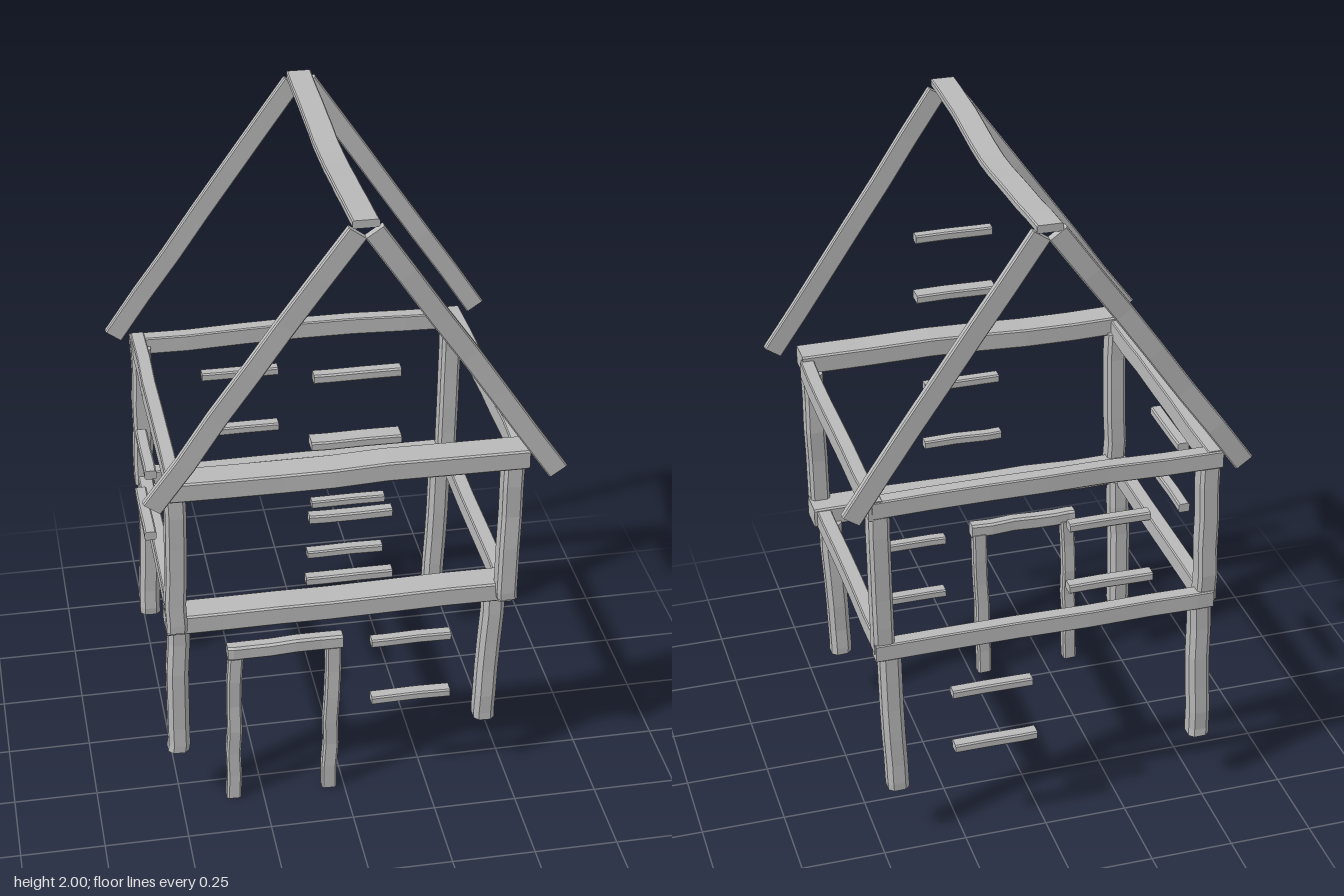
import * as THREE from 'three';

const V = (a) => new THREE.Vector3(...a);

export function createModel() {
  const model = new THREE.Group();
  model.name = 'timberHouseFrame';
  const timber = new THREE.MeshStandardMaterial({ color: 0xbababa, flatShading: true });
  timber.name = 'grey timber';

  // Seeded wobble for the hand-hewn look, from -1 to 1
  let seed = 7;
  const wobble = () => {
    seed = (seed * 16807) % 2147483647;
    return (seed / 2147483647) * 2 - 1;
  };

  // Chamfered timber swept along a path; w runs along the wide vector, h across it
  function beam(name, path, w, h, wide, { rough = 0.003, steps = 6, bevel = 0.16 } = {}) {
    const curve = new THREE.CatmullRomCurve3(path.map(V));
    const dir = V(path[path.length - 1]).sub(V(path[0])).normalize();
    const u = V(wide).addScaledVector(dir, -V(wide).dot(dir)).normalize();
    const v = new THREE.Vector3().crossVectors(dir, u);
    const a = w / 2, b = h / 2, c = Math.min(w, h) * bevel;
    const section = [[a, c - b], [a, b - c], [a - c, b], [c - a, b],
      [-a, b - c], [-a, c - b], [c - a, -b], [a - c, -b]];
    const n = section.length, pos = [], index = [];
    for (let i = 0; i <= steps; i++) {
      const inner = i > 0 && i < steps ? rough : 0;
      const p = curve.getPoint(i / steps)
        .addScaledVector(u, wobble() * inner).addScaledVector(v, wobble() * inner);
      for (const [x, y] of section) {
        const q = p.clone().addScaledVector(u, x).addScaledVector(v, y);
        pos.push(q.x, q.y, q.z);
      }
      for (let j = 0; i < steps && j < n; j++) {
        const k = i * n + j, l = i * n + ((j + 1) % n);
        index.push(k, l, l + n, k, l + n, k + n);
      }
    }
    const e = steps * n;
    for (let j = 1; j < n - 1; j++) index.push(0, j + 1, j, e, e + j, e + j + 1);
    const geo = new THREE.BufferGeometry();
    geo.setAttribute('position', new THREE.Float32BufferAttribute(pos, 3));
    geo.setIndex(index);
    geo.computeVertexNormals();
    const mesh = new THREE.Mesh(geo, timber);
    mesh.name = name;
    model.add(mesh);
  }

  const X = [1, 0, 0], Y = [0, 1, 0];

  // Sagging ridge beam
  beam('ridgeBeam', [[0.017, 1.988, 0.525], [0.015, 1.975, 0.3], [0.018, 1.947, 0],
    [0.018, 1.958, -0.25], [0.018, 1.974, -0.535]], 0.073, 0.023, X, { steps: 12, rough: 0.001 });

  // Gable rafters
  for (const s of [-1, 1]) {
    beam('frontRafter', [[0.57 * s, 1.178, 0.515], [0.3 * s + 0.01, 1.565, 0.508],
      [0.018 + 0.022 * s, 1.962, 0.514]], 0.024, 0.06, [0, 0, 1]);
    beam('backRafter', [[0.57 * s, 1.168, -0.508], [0.3 * s + 0.01, 1.558, -0.514],
      [0.018 + 0.022 * s, 1.955, -0.523]], 0.024, 0.06, [0, 0, 1]);
  }

  // Upper frame
  beam('upperFrontBeam', [[-0.513, 1.18, 0.418], [-0.2, 1.175, 0.42], [0.1, 1.185, 0.42],
    [0.505, 1.184, 0.42]], 0.09, 0.06, [0, 0, 1], { bevel: 0.08 });
  beam('upperBackBeam', [[-0.525, 1.16, -0.452], [0, 1.165, -0.453], [0.5, 1.16, -0.45]],
    0.045, 0.055, [0, 0, 1], { bevel: 0.08 });
  beam('upperLeftBeam', [[0.49, 1.17, 0.39], [0.497, 1.167, 0], [0.49, 1.16, -0.47]], 0.042, 0.06, X, { bevel: 0.08 });
  beam('upperRightBeam', [[-0.497, 1.17, 0.385], [-0.497, 1.167, 0], [-0.5, 1.16, -0.47]], 0.042, 0.06, X, { bevel: 0.08 });

  // Lower frame
  beam('lowerFrontBeam', [[-0.53, 0.685, 0.345], [-0.2, 0.685, 0.345], [0.1, 0.691, 0.343],
    [0.505, 0.69, 0.345]], 0.092, 0.062, [0, 0, 1], { bevel: 0.08 });
  beam('lowerBackBeam', [[-0.52, 0.685, -0.445], [0.5, 0.685, -0.445]], 0.045, 0.055, [0, 0, 1], { bevel: 0.08 });
  beam('lowerLeftBeam', [[0.472, 0.686, 0.39], [0.472, 0.686, -0.455]], 0.045, 0.058, X, { bevel: 0.08 });
  beam('lowerRightBeam', [[-0.5, 0.686, 0.39], [-0.5, 0.686, -0.455]], 0.045, 0.058, X, { bevel: 0.08 });

  // Corner posts of both storeys
  for (const [zUp, zLow] of [[0.383, 0.308], [-0.435, -0.428]]) {
    beam('upperRightPost', [[-0.502, 0.68, zUp + 0.003], [-0.495, 1.16, zUp]], 0.06, 0.064, X);
    beam('upperLeftPost', [[0.472, 0.68, zUp + 0.003], [0.478, 1.16, zUp]], 0.06, 0.064, X);
    beam('lowerRightPost', [[-0.502, 0.188, zLow], [-0.488, 0.67, zLow]], 0.064, 0.064, X, { bevel: 0.22 });
    beam('lowerLeftPost', [[0.438, 0.188, zLow], [0.454, 0.67, zLow]], 0.064, 0.064, X, { bevel: 0.22 });
  }

  // Door frame
  beam('doorPost', [[-0.34, 0, 0.33], [-0.335, 0.25, 0.33], [-0.324, 0.53, 0.33]], 0.044, 0.038, X);
  beam('doorPost', [[-0.046, 0, 0.33], [-0.04, 0.25, 0.33], [-0.032, 0.53, 0.33]], 0.046, 0.038, X);
  beam('doorLintel', [[-0.35, 0.541, 0.335], [-0.006, 0.543, 0.335]], 0.04, 0.046, [0, 0, 1]);

  // Short loose slats: name, x from, x to, y, z, depth
  const slats = [
    ['gableSlat', -0.115, 0.125, 1.517, 0.472, 0.036],
    ['gableSlat', -0.125, 0.125, 1.317, 0.48, 0.055],
    ['frontUpperSlat', -0.12, 0.118, 1.035, 0.42, 0.036],
    ['frontUpperSlat', -0.13, 0.12, 0.83, 0.424, 0.036],
    ['frontLowerSlat', 0.08, 0.32, 0.524, 0.337, 0.036],
    ['frontLowerSlat', 0.08, 0.32, 0.322, 0.345, 0.04],
    ['backUpperSlat', -0.305, -0.065, 1.018, -0.472, 0.036],
    ['backUpperSlat', -0.317, -0.065, 0.816, -0.475, 0.04],
    ['backLowerSlat', 0.04, 0.28, 0.512, -0.468, 0.036],
    ['backLowerSlat', 0.025, 0.275, 0.32, -0.468, 0.04],
  ];
  for (const [name, x0, x1, y, z, d] of slats) {
    beam(name, [[x0, y, z], [x1, y, z]], d, 0.027, [0, 0, 1], { steps: 3, rough: 0.0015 });
  }
  for (const [y, x, z0, z1] of [[1.022, -0.53, 0.095, -0.147], [0.815, -0.538, 0.1, -0.155]]) {
    beam('sideSlat', [[x, y, z0], [x, y, z1]], 0.035, 0.028, X, { steps: 3, rough: 0.0015 });
  }

  return model;
}
